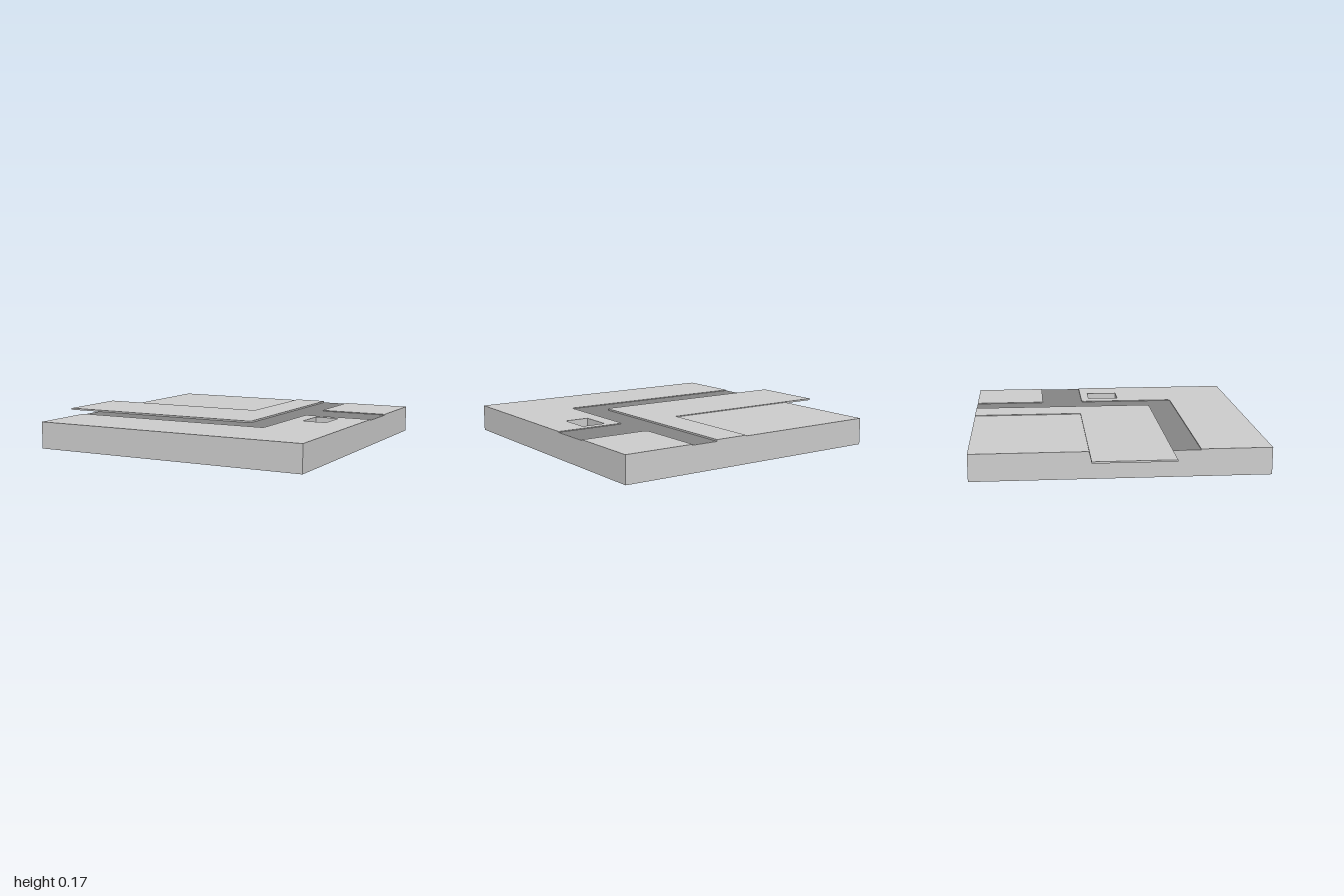
import * as THREE from 'three';

const ROAD = 0.163, LOT = 0.169;
const grey = new THREE.MeshStandardMaterial({ color: 0xcccccc });
const asphalt = new THREE.MeshStandardMaterial({ color: 0x848484 });

// Closed plan outline from [x, z, cornerRadius] points
function outline(points, PathType = THREE.Shape) {
  const path = new PathType();
  const pts = points.map(([x, z]) => new THREE.Vector2(x, -z));
  const n = pts.length;
  pts.forEach((p, i) => {
    const r = points[i][2] || 0;
    const toward = (q) => p.clone().add(q.clone().sub(p).setLength(r));
    const a = r ? toward(pts[(i + n - 1) % n]) : p;
    if (i === 0) path.moveTo(a.x, a.y);
    else path.lineTo(a.x, a.y);
    if (r) {
      const b = toward(pts[(i + 1) % n]);
      path.quadraticCurveTo(p.x, p.y, b.x, b.y);
    }
  });
  path.closePath();
  return path;
}

// Plan shape extruded upward between two heights
function slab(name, shape, y0, y1) {
  const geo = new THREE.ExtrudeGeometry(shape, { depth: y1 - y0, bevelEnabled: false, curveSegments: 6 });
  geo.rotateX(-Math.PI / 2).translate(0, y0, 0);
  const mesh = new THREE.Mesh(geo, grey);
  mesh.name = name;
  return mesh;
}

export function createModel() {
  const group = new THREE.Group();
  group.name = 'streetCornerTile';
  const W = -0.77, E = 1, N = -0.91, S = 0.91, R = 0.022;
  const shaft = () => outline([[0.65, -0.11], [0.65, 0.1], [0.805, 0.1], [0.805, -0.11]], THREE.Path);

  // Base with a square shaft right through it
  const base = outline([[W, S], [E, S], [E, N], [W, N]]);
  base.holes.push(shaft());
  group.add(slab('base', base, 0, ROAD));

  // Bent road with a side branch, set just below the lots
  const roadShape = outline([
    [W, 0.475], [0.555, 0.475], [0.555, -0.165], [E, -0.165],
    [E, -0.445], [0.555, -0.445], [0.555, N], [0.38, N], [0.38, 0.3], [W, 0.3],
  ]);
  const road = new THREE.Mesh(new THREE.ShapeGeometry(roadShape), asphalt);
  road.geometry.rotateX(-Math.PI / 2).translate(0, ROAD + 0.001, 0);
  road.name = 'road';
  group.add(road);

  // Raised lots around the road
  const frontLot = outline([
    [W, S], [E, S], [E, -0.165], [0.555, -0.165, R], [0.555, 0.475, R], [W, 0.475],
  ]);
  frontLot.holes.push(shaft());
  group.add(slab('frontLot', frontLot, ROAD, LOT));
  group.add(slab('backLot', outline([[0.555, -0.445, R], [E, -0.445], [E, N], [0.555, N]]), ROAD, LOT));
  group.add(slab('yard', outline([[W, -0.195], [0.167, -0.195], [0.167, N], [W, N]]), ROAD, LOT));

  // L-shaped pavement that overhangs the base on one side
  const pavement = outline([
    [-1, 0.3], [0.382, 0.3, 0.03], [0.382, N], [0.167, N], [0.167, -0.195], [-1, -0.195],
  ]);
  group.add(slab('pavement', pavement, ROAD, 0.174));

  return group;
}
